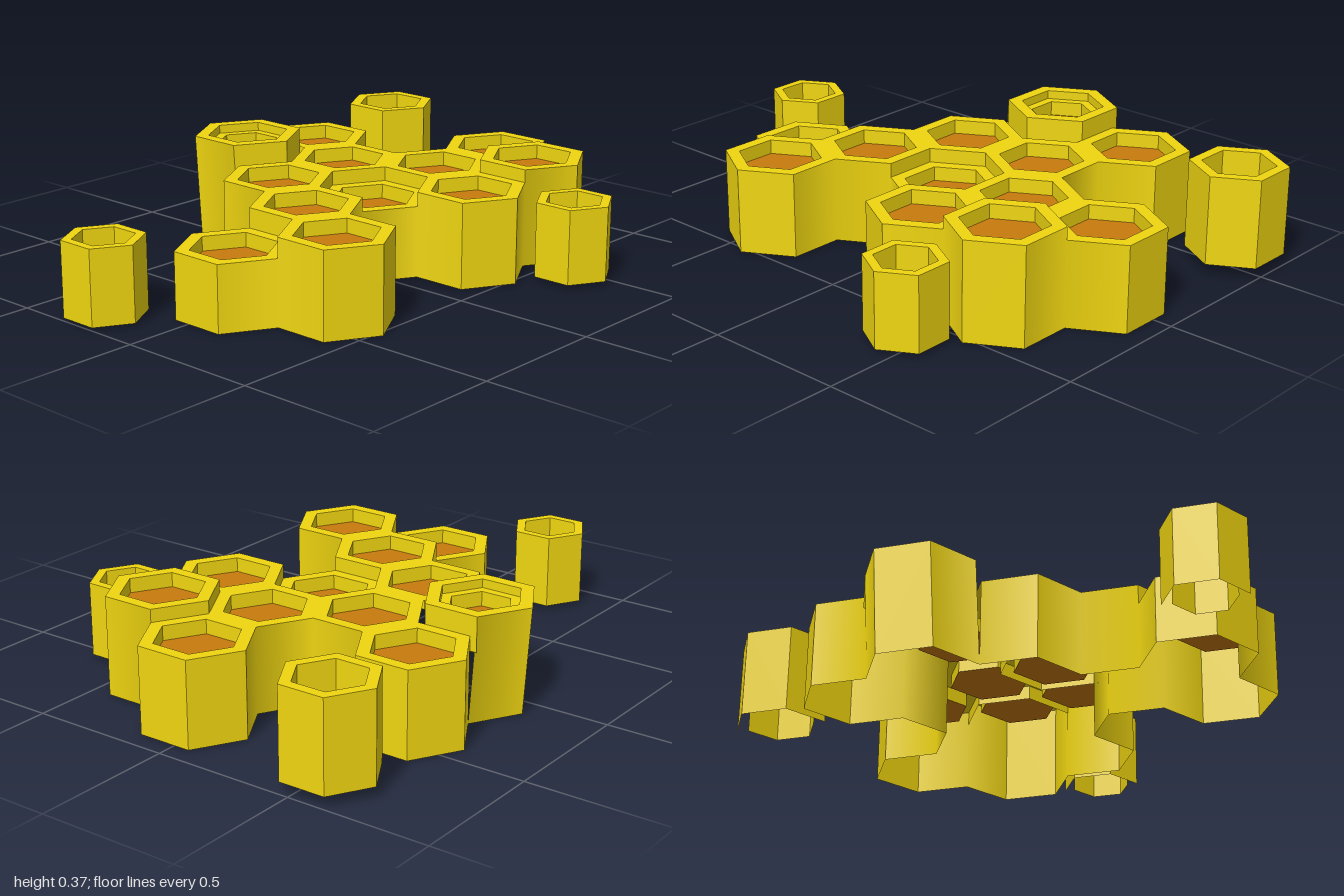
import * as THREE from 'three';

const yellow = 0xf0d610;
const wallWax = new THREE.MeshStandardMaterial({ color: yellow, side: THREE.DoubleSide });
const rimWax = new THREE.MeshStandardMaterial({ color: yellow, flatShading: true, side: THREE.DoubleSide });
const looseWax = new THREE.MeshStandardMaterial({ color: yellow, flatShading: true });
const honey = new THREE.MeshStandardMaterial({ color: 0xc87a0e, flatShading: true, side: THREE.DoubleSide });

const PITCH = 0.337, R = 0.195, INNER = 0.146;
const DEG = Math.PI / 180;

// Six-sided surface turned from [radius, height] pairs, corners towards +z and -z
function hexTurned(profile) {
  return new THREE.LatheGeometry(profile.map(([r, y]) => new THREE.Vector2(r, y)), 6);
}

// Rim or tube of wax with a hexagonal sheet of honey across it
function makeCup(name, x, z, profile, material, honeyRadius, level) {
  const cup = new THREE.Group();
  cup.name = name;
  const wall = new THREE.Mesh(hexTurned(profile), material);
  wall.name = 'waxRim';
  const sheet = new THREE.Mesh(hexTurned([[honeyRadius, level], [0, level]]), honey);
  sheet.name = 'honeySheet';
  cup.add(wall, sheet);
  cup.position.set(x, 0, z);
  return cup;
}

// Outer wall of the joined cells: one panel for each hexagon side that has no neighbour,
// and a short skirt where a cell rises above its neighbour
function makeOuterWall(cells) {
  const positions = [], normals = [], index = [];
  const neighbour = (cell, angle) => cells.find((c) => Math.hypot(
    c.x - cell.x - PITCH * Math.cos(angle * DEG), c.z - cell.z - PITCH * Math.sin(angle * DEG)) < 0.05);

  for (const cell of cells) {
    for (let a = 0; a < 360; a += 60) {
      const next = neighbour(cell, a);
      if (next && next.top >= cell.top) continue;
      const foot = next ? next.top - 0.05 : 0;
      const footShift = next ? cell.shift : 0;
      // In a hollow between two cells the shading runs on smoothly from one to the other
      const bend = (side) => (!next && neighbour(cell, a + side * 60) ? a - side * 30 : a);
      const start = positions.length / 3;
      for (const [side, y, shift] of [[1, foot, footShift], [-1, foot, footShift], [-1, cell.top, cell.shift], [1, cell.top, cell.shift]]) {
        const corner = (a + side * 30) * DEG, n = bend(side) * DEG;
        positions.push(cell.x + R * Math.cos(corner), y, cell.z + shift + R * Math.sin(corner));
        normals.push(Math.cos(n), 0, Math.sin(n));
      }
      index.push(start, start + 1, start + 2, start, start + 2, start + 3);
    }
  }
  const geometry = new THREE.BufferGeometry();
  geometry.setAttribute('position', new THREE.Float32BufferAttribute(positions, 3));
  geometry.setAttribute('normal', new THREE.Float32BufferAttribute(normals, 3));
  geometry.setIndex(index);
  const wall = new THREE.Mesh(geometry, wallWax);
  wall.name = 'outerWall';
  return wall;
}

export function createModel() {
  const model = new THREE.Group();
  model.name = 'honeycomb';

  // Joined cells: half-steps along x, row along z, rim height, shift of the rim along z
  const cells = [
    [-4, 0, 0.23], [-2, 0, 0.3], [0, 0, 0.25], [2, 0, 0.3], [4, 0, 0.3],
    [-3, 1, 0.3], [1, 1, 0.3], [3, 1, 0.345],
    [-1, -1, 0.3], [1, -1, 0.3],
    [0, -2, 0.37, -0.025], [2, -2, 0.3],
  ].map(([u, row, top, shift = 0]) => ({
    x: 0.088 + u * PITCH / 2, z: 0.04 + row * PITCH * Math.sin(60 * DEG), top, shift,
  }));

  const comb = new THREE.Group();
  comb.name = 'comb';
  comb.add(makeOuterWall(cells));
  for (const { x, z, top, shift } of cells) {
    const profile = [[R, top], [INNER, top]];
    if (shift) {
      // Tallest cell, stepped inside
      profile.push([INNER, top - 0.03], [0.11, top - 0.03], [0.11, top - 0.08]);
      comb.add(makeCup('tallCell', x, z + shift, profile, rimWax, 0.11, top - 0.08));
    } else {
      profile.push([INNER, top - 0.05]);
      comb.add(makeCup('cell', x, z, profile, rimWax, INNER, top - 0.05));
    }
  }
  model.add(comb);

  // Loose cells, open tubes with honey halfway up: x, z, outer and inner radius, bottom, top
  const loose = [
    [-0.88, -0.247, 0.138, 0.103, 0.01, 0.27],
    [0.855, -0.55, 0.166, 0.124, 0.04, 0.352],
    [0.447, 0.622, 0.138, 0.103, 0.013, 0.274],
  ];
  for (const [x, z, outer, inner, bottom, top] of loose) {
    const profile = [[outer, bottom], [outer, top], [inner, top], [inner, bottom]];
    model.add(makeCup('looseCell', x, z, profile, looseWax, inner, (bottom + top) / 2));
  }
  return model;
}
